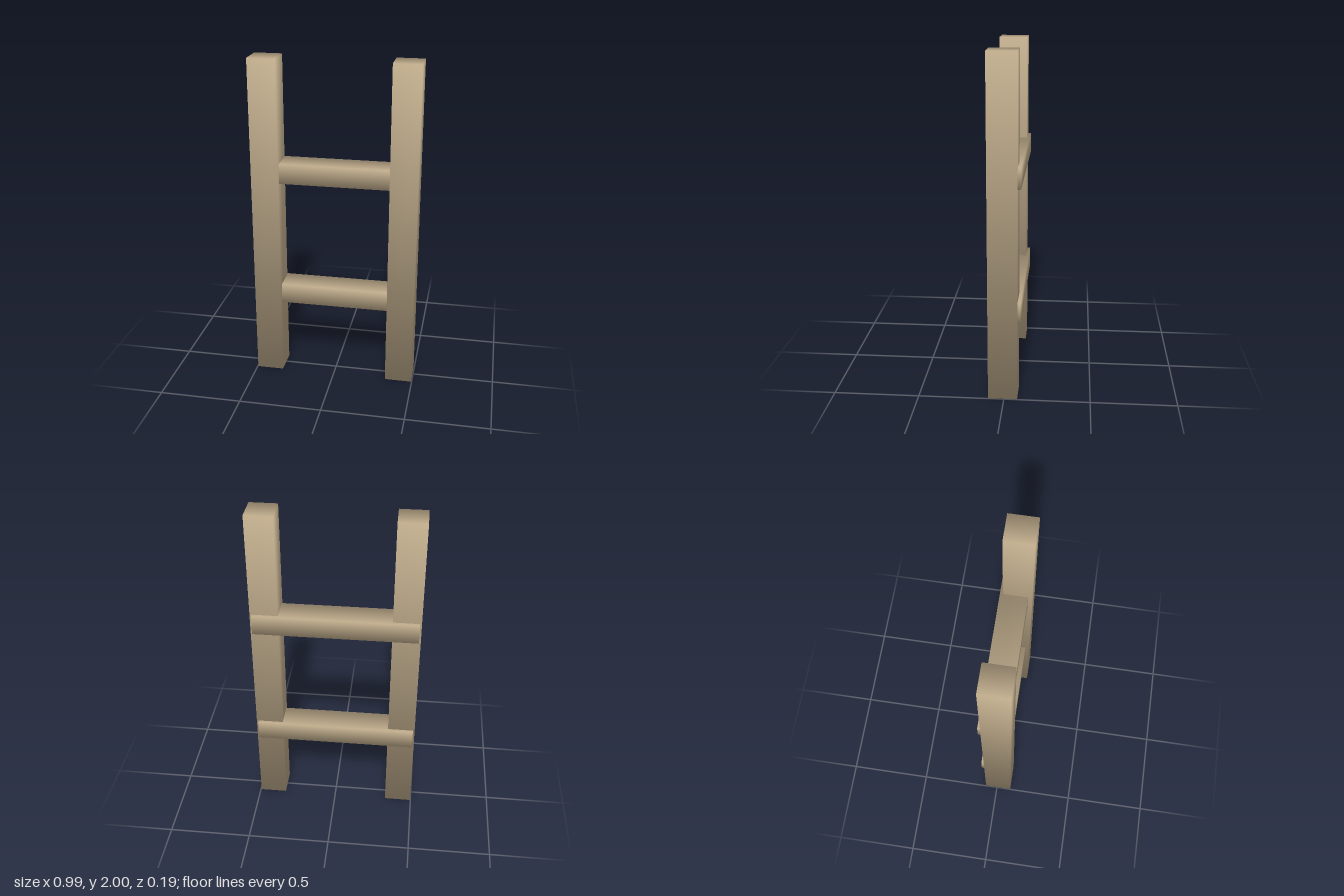
import * as THREE from 'three';

const wood = new THREE.MeshStandardMaterial({ color: 0xc4b08f });
wood.name = 'paleWood';

// Beam with soft shading: every corner normal points diagonally outward
function beam(name, w, h, d, x, y, z) {
  const geometry = new THREE.BoxGeometry(w, h, d);
  const p = geometry.attributes.position;
  const n = geometry.attributes.normal;
  const v = new THREE.Vector3();
  for (let i = 0; i < p.count; i++) {
    v.set(Math.sign(p.getX(i)), Math.sign(p.getY(i)), Math.sign(p.getZ(i))).normalize();
    n.setXYZ(i, v.x, v.y, v.z);
  }
  const mesh = new THREE.Mesh(geometry, wood);
  mesh.name = name;
  mesh.position.set(x, y, z);
  return mesh;
}

export function createModel() {
  const ladder = new THREE.Group();
  ladder.name = 'ladder';

  // Upright posts
  for (const [name, x] of [['leftPost', 0.413], ['rightPost', -0.414]]) {
    ladder.add(beam(name, 0.165, 2, 0.17, x, 1, 0.008));
  }

  // Rungs, set slightly proud of the back of the posts
  for (const [name, y] of [['lowerRung', 0.533], ['upperRung', 1.317]]) {
    ladder.add(beam(name, 0.97, 0.122, 0.164, -0.001, y, -0.013));
  }

  return ladder;
}
